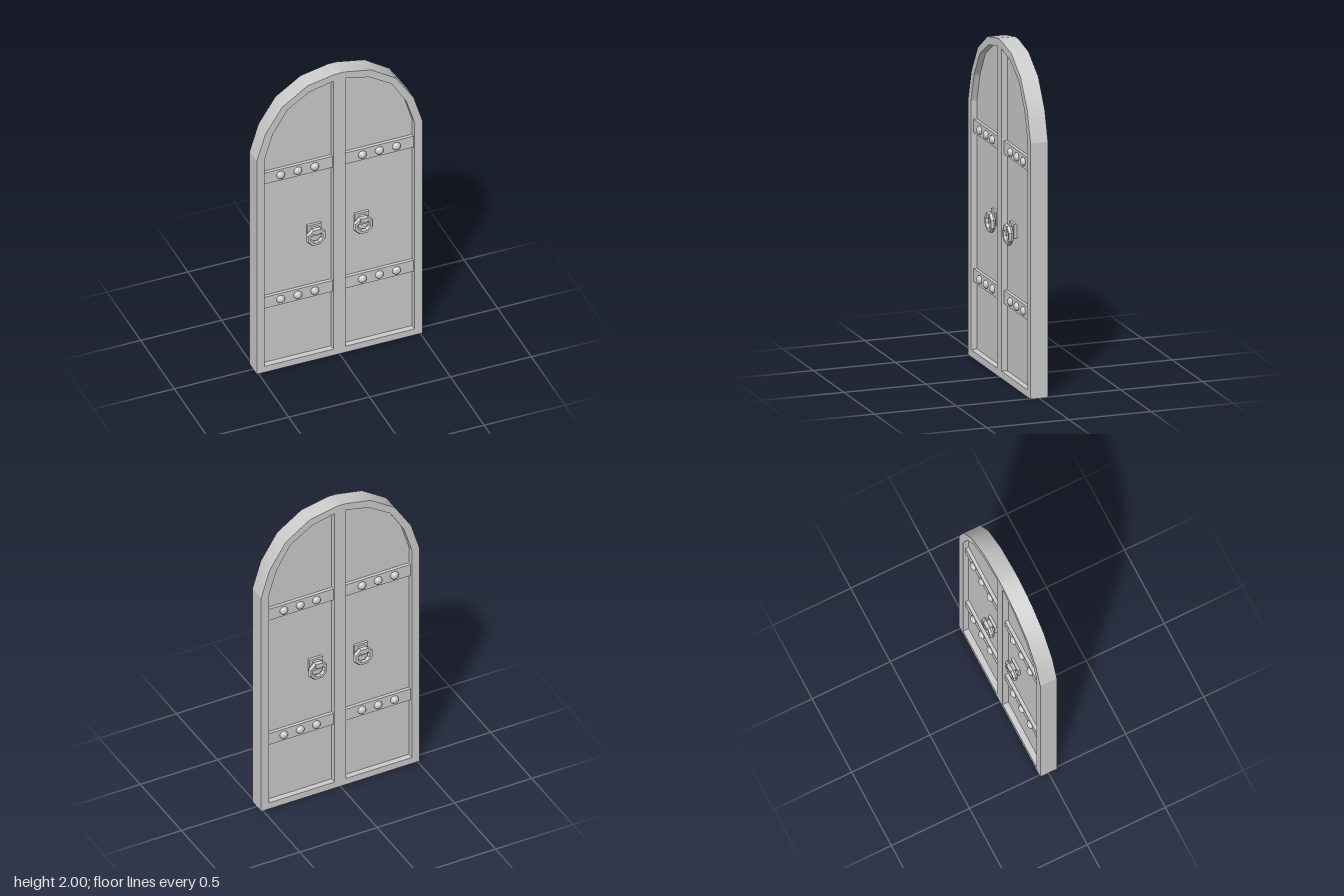
import * as THREE from 'three';

const HALF = 0.053;    // half thickness of the frame
const PANEL = 0.017;   // half thickness of the recessed panels
const BAR = 0.037;     // front of the cross bars

const smooth = new THREE.MeshStandardMaterial({ color: 0xcccccc });
const flat = new THREE.MeshStandardMaterial({ color: 0xcccccc, flatShading: true });
const shell = new THREE.MeshStandardMaterial({ color: 0xcccccc, side: THREE.DoubleSide });
const flatShell = new THREE.MeshStandardMaterial({ color: 0xcccccc, side: THREE.DoubleSide, flatShading: true });

const toPoints = list => list.map(([x, y]) => new THREE.Vector2(x, y));
const mirrored = pts => pts.map(p => new THREE.Vector2(-p.x, p.y)).reverse();

// Right half of the arch, and the opening of one leaf
const archHalf = toPoints([[0.512, 1.516], [0.458, 1.695], [0.353, 1.86], [0.196, 1.966], [0.027, 2]]);
const arch = [...archHalf, ...mirrored(archHalf)];
const opening = toPoints([[0.037, 0.043], [0.463, 0.043], [0.463, 1.516], [0.412, 1.683],
  [0.322, 1.83], [0.183, 1.919], [0.037, 1.953]]);
const openings = [opening, mirrored(opening)];

function add(parent, name, geometry, material, x = 0, y = 0, z = 0) {
  const mesh = new THREE.Mesh(geometry, material);
  mesh.name = name;
  mesh.position.set(x, y, z);
  parent.add(mesh);
  return mesh;
}

// Wall that follows a path and spans from z0 to z1
function wall(path, z0, z1) {
  const n = path.length - 1;
  const geo = new THREE.PlaneGeometry(1, 1, n, 1);
  const pos = geo.attributes.position;
  for (let i = 0; i <= n; i++) {
    pos.setXYZ(i, path[i].x, path[i].y, z1);
    pos.setXYZ(i + n + 1, path[i].x, path[i].y, z0);
  }
  geo.computeVertexNormals();
  return geo;
}

// Ring handle hanging from a clasp on a back plate
function createHandle(x) {
  const handle = new THREE.Group();
  handle.name = 'ringHandle';
  add(handle, 'handlePlate', new THREE.BoxGeometry(0.086, 0.084, 0.016), flat, x, 0.907, PANEL + 0.008);
  add(handle, 'handleClasp', new THREE.BoxGeometry(0.044, 0.03, 0.056), flat, x, 0.92, PANEL + 0.028);
  const ring = new THREE.TorusGeometry(0.049, 0.016, 6, 8).rotateZ(Math.PI / 8);
  add(handle, 'handleRing', ring, flat, x, 0.88, 0.054);
  return handle;
}

// Everything that shows on one face of the door
function createFace(name) {
  const face = new THREE.Group();
  face.name = name;

  const frame = new THREE.Shape([...toPoints([[-0.512, 0], [0.512, 0]]), ...arch]);
  frame.holes = openings.map(o => new THREE.Path(o));
  add(face, 'frameFace', new THREE.ShapeGeometry(frame), shell, 0, 0, HALF);

  for (const o of openings) {
    add(face, 'panel', new THREE.ShapeGeometry(new THREE.Shape(o)), shell, 0, 0, PANEL);
    add(face, 'recessEdge', wall([...o, o[0]], HALF, PANEL), flatShell);
  }

  const dome = new THREE.SphereGeometry(0.026, 12, 5, 0, Math.PI * 2, 0, Math.PI / 2)
    .rotateX(Math.PI / 2).scale(1, 1, 0.82);
  for (const side of [1, -1]) {
    for (const y of [1.367, 0.482]) {
      const bar = new THREE.BoxGeometry(0.426, 0.079, BAR - PANEL);
      add(face, 'crossBar', bar, flat, side * 0.25, y, (BAR + PANEL) / 2);
      for (const x of [0.147, 0.252, 0.358]) add(face, 'rivet', dome, smooth, side * x, y, BAR);
    }
    face.add(createHandle(side * 0.146));
  }
  return face;
}

export function createModel() {
  const door = new THREE.Group();
  door.name = 'archedDoubleDoor';

  const front = createFace('frontFace');
  const back = createFace('backFace');
  back.rotation.y = Math.PI;
  door.add(front, back);

  // Rim around the door, open underneath
  add(door, 'archRim', wall(arch, -HALF, HALF), shell);
  add(door, 'leftRim', wall(toPoints([[0.512, 0], [0.512, 1.516]]), -HALF, HALF), shell);
  add(door, 'rightRim', wall(toPoints([[-0.512, 1.516], [-0.512, 0]]), -HALF, HALF), shell);

  // Joint between the two leaves
  add(door, 'centreJoint', wall(toPoints([[0, 0], [0, 2]]), -HALF, HALF), shell);
  return door;
}
